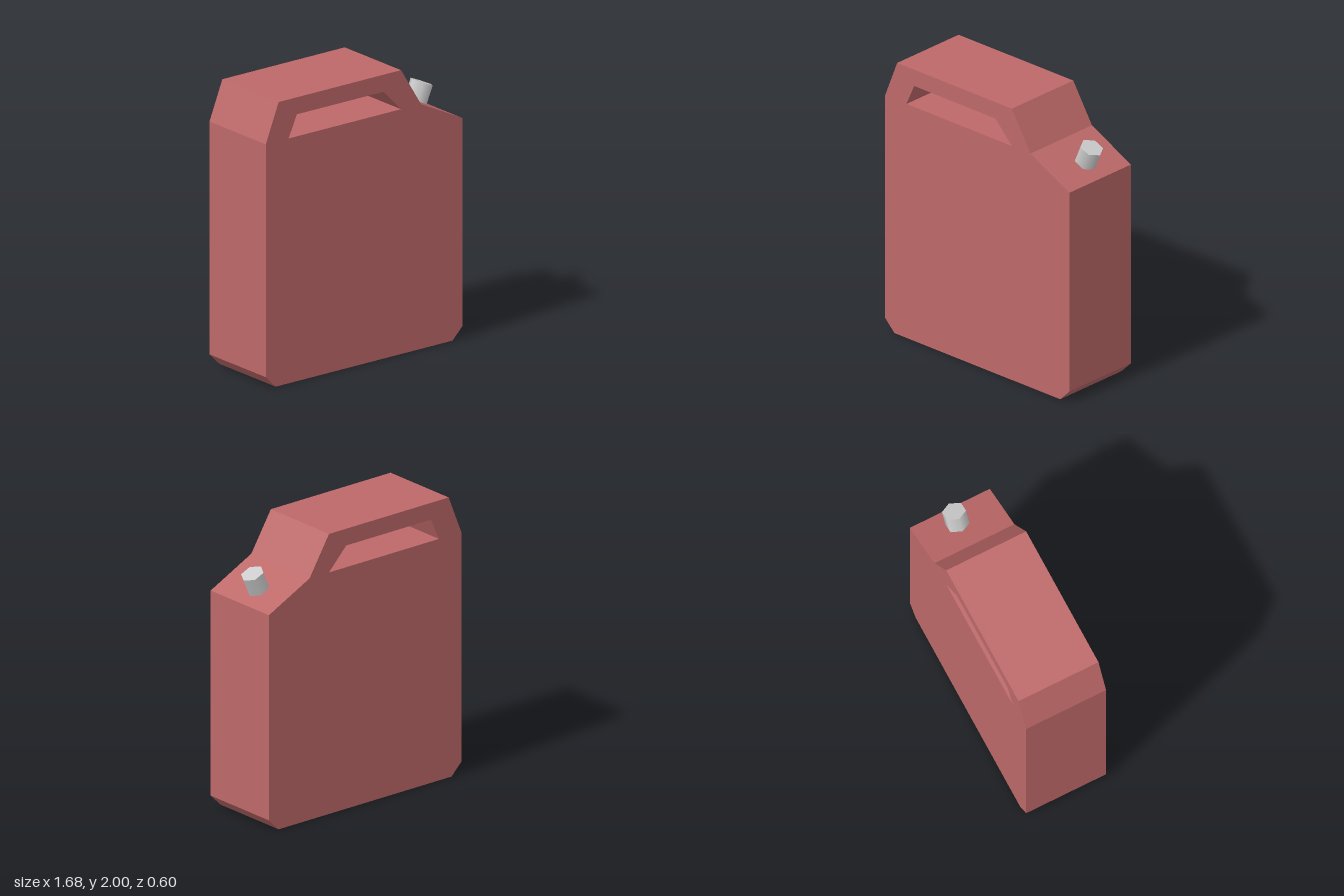
import * as THREE from 'three';

const points = (list) => list.map(([x, y]) => new THREE.Vector2(x, y));

export function createModel() {
  const group = new THREE.Group();
  group.name = 'jerrycan';

  // Can body: side outline with the grip opening, extruded through the depth
  const depth = 0.6;
  const outline = new THREE.Shape(points([
    [-0.755, 0], [0.755, 0], [0.84, 0.085], [0.84, 1.55], [0.485, 1.725],
    [0.315, 2], [-0.73, 2], [-0.84, 1.725], [-0.84, 0.085],
  ]));
  outline.holes.push(new THREE.Path(points([
    [-0.645, 1.725], [-0.575, 1.88], [0.165, 1.88], [0.315, 1.725],
  ])));
  const bodyGeometry = new THREE.ExtrudeGeometry(outline, { depth, bevelEnabled: false });
  bodyGeometry.translate(0, 0, -depth / 2);
  const body = new THREE.Mesh(
    bodyGeometry,
    new THREE.MeshStandardMaterial({ color: 0xbd6868, flatShading: true }),
  );
  body.name = 'canBody';
  group.add(body);

  // Six-sided cap, tilted on the sloping shoulder and sunk slightly into it
  const length = 0.18;
  const capGeometry = new THREE.CylinderGeometry(0.082, 0.082, length, 6, 1, false, Math.PI / 2);
  capGeometry.translate(0, -length / 2, 0);
  const cap = new THREE.Mesh(capGeometry, new THREE.MeshStandardMaterial({ color: 0xcccccc }));
  cap.name = 'cap';
  cap.position.set(0.746, 1.742, -0.018);
  cap.rotation.z = -0.405;
  group.add(cap);

  return group;
}
